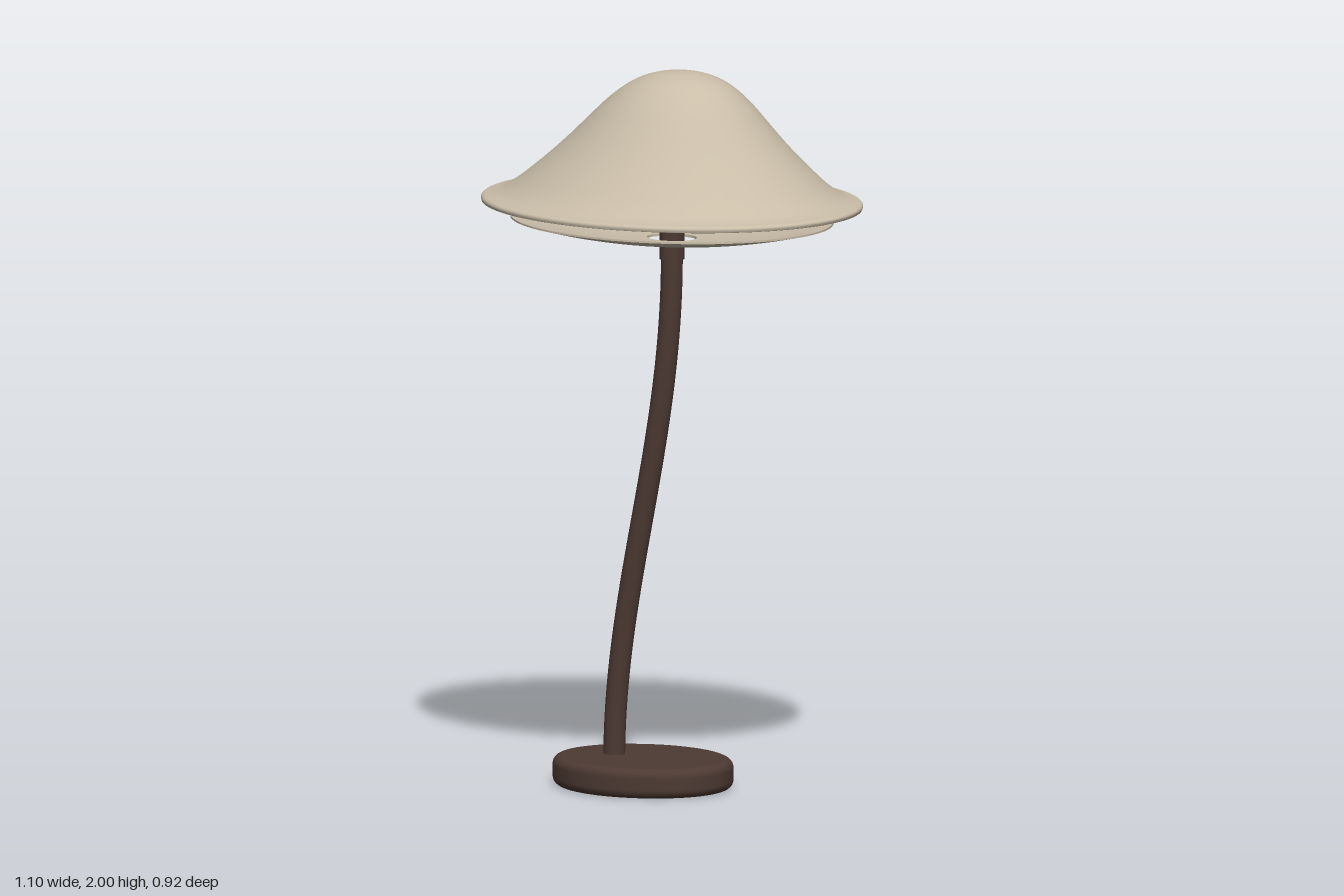
import * as THREE from 'three';

const V2 = (p) => new THREE.Vector2(p[0], p[1]);

// Smooth curve through a few [radius, height] points
const smooth = (pts, n) => new THREE.SplineCurve(pts.map(V2)).getPoints(n)
  .map((p) => new THREE.Vector2(Math.max(0, p.x), p.y));

// Lathe stretched to an ellipse by depth
function ellipseLathe(points, depth) {
  return new THREE.LatheGeometry(points, 96).applyMatrix4(new THREE.Matrix4().makeScale(1, 1, depth));
}

function add(group, name, geometry, material) {
  const mesh = new THREE.Mesh(geometry, material);
  mesh.name = name;
  group.add(mesh);
  return mesh;
}

export function createModel() {
  const lamp = new THREE.Group();
  lamp.name = 'tableLamp';

  const cream = new THREE.MeshStandardMaterial({ color: 0xc9bda8, side: THREE.DoubleSide });
  cream.name = 'warm cream';
  const brown = new THREE.MeshStandardMaterial({ color: 0x4d3a33 });
  brown.name = 'dark brown';

  // Oval base with rounded edges, set off to one side
  const basePoints = [[0, 0], [0.235, 0]];
  for (const [cy, start] of [[0.025, -Math.PI / 2], [0.057, 0]]) {
    for (let i = 0; i <= 6; i++) {
      const a = start + (i / 6) * (Math.PI / 2);
      basePoints.push([0.235 + 0.025 * Math.cos(a), cy + 0.025 * Math.sin(a)]);
    }
  }
  basePoints.push([0.23, 0.082], [0, 0.082]);
  add(lamp, 'base', ellipseLathe(basePoints.map(V2), 0.22 / 0.26), brown).position.x = -0.095;

  // Stem bending in a gentle S from the base to the shade axis
  const path = new THREE.CubicBezierCurve3(
    new THREE.Vector3(-0.19, 0.06, 0), new THREE.Vector3(-0.19, 0.55, 0),
    new THREE.Vector3(0, 0.95, 0), new THREE.Vector3(0, 1.49, 0));
  add(lamp, 'stem', new THREE.TubeGeometry(path, 64, 0.03, 24), brown);

  // Socket collar and the rod that carries the shade
  add(lamp, 'collar', new THREE.CylinderGeometry(0.034, 0.034, 0.1, 32), brown).position.y = 1.525;
  add(lamp, 'shadeRod', new THREE.CylinderGeometry(0.033, 0.033, 0.4, 32), brown).position.y = 1.77;

  // Bell shade: inner wall, rolled rim, outer wall
  const outer = smooth([
    [0.548, 1.627], [0.55, 1.636], [0.543, 1.643], [0.52, 1.648], [0.49, 1.659],
    [0.45, 1.685], [0.41, 1.718], [0.36, 1.762], [0.31, 1.81], [0.26, 1.862],
    [0.21, 1.913], [0.16, 1.954], [0.11, 1.981], [0.055, 1.996], [0, 2],
  ], 70);
  const inner = smooth([
    [0, 1.988], [0.055, 1.984], [0.105, 1.97], [0.2, 1.903], [0.3, 1.8],
    [0.4, 1.708], [0.44, 1.675], [0.48, 1.649], [0.52, 1.635], [0.54, 1.627],
  ], 50);
  const shade = ellipseLathe([...inner, ...outer], 0.46 / 0.55);
  // Lean the crown slightly sideways
  const lean = 0.03 / 0.37;
  shade.applyMatrix4(new THREE.Matrix4().set(
    1, lean, 0, -lean * 1.63,
    0, 1, 0, 0,
    0, 0, 1, 0,
    0, 0, 0, 1));
  add(lamp, 'shade', shade, cream);

  // Shallow reflector dish with a hole around the collar
  const under = smooth([[0.072, 1.528], [0.16, 1.533], [0.27, 1.546], [0.37, 1.563], [0.465, 1.584]], 24);
  const over = smooth([[0.465, 1.589], [0.37, 1.57], [0.27, 1.553], [0.16, 1.54], [0.072, 1.535]], 24);
  add(lamp, 'reflectorUnderside', ellipseLathe(under, 0.39 / 0.465), cream);
  add(lamp, 'reflectorTop', ellipseLathe(over, 0.39 / 0.465), cream);
  add(lamp, 'reflectorEdge', ellipseLathe([V2([0.465, 1.584]), V2([0.465, 1.589])], 0.39 / 0.465), cream);
  add(lamp, 'reflectorHole', ellipseLathe([V2([0.072, 1.535]), V2([0.072, 1.528])], 0.39 / 0.465), cream);

  return lamp;
}
